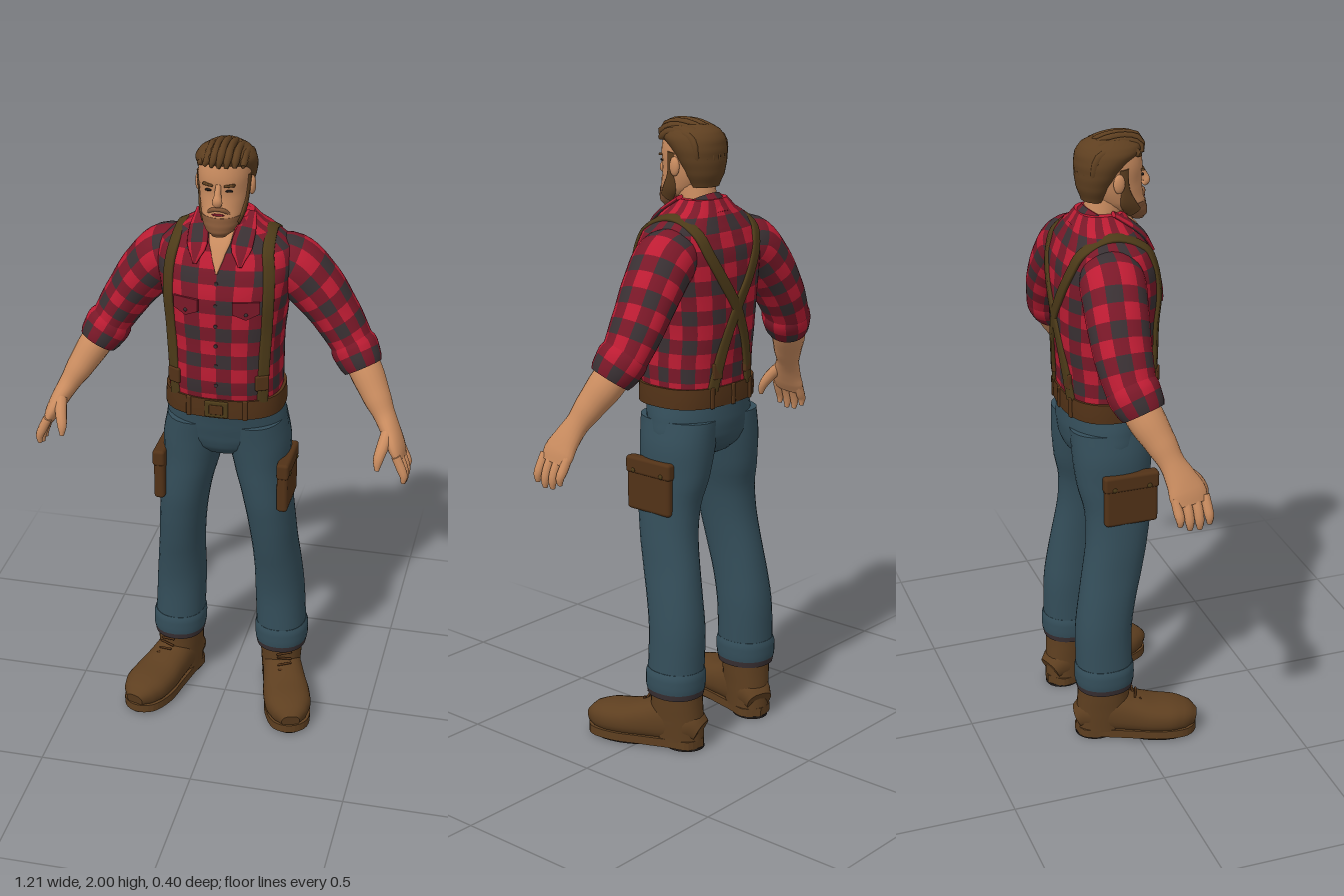
import * as THREE from 'three';
import { RoundedBoxGeometry } from 'three/addons/geometries/RoundedBoxGeometry.js';

const V = (x, y, z) => new THREE.Vector3(x, y, z);
const mat = (name, color) => Object.assign(new THREE.MeshStandardMaterial({ color }), { name });
const M = {
  red: mat('shirt red', 0xbd1c33), midRed: mat('shirt dark red', 0x7a1828), check: mat('shirt charcoal', 0x393033),
  denim: mat('denim', 0x344e5a), brown: mat('boot and hair brown', 0x5e3f20), leather: mat('belt leather', 0x523217),
  strap: mat('suspender olive', 0x4c3a18), skin: mat('skin', 0xcb8d60), stubble: mat('beard', 0x855838),
  black: mat('sole black', 0x1d1816),
};
const PLAID = [M.red, M.midRed, M.check];

// Skin a path of [x, y, z, halfWidth, halfDepth] stations with superellipse sections.
function loft(pts, { seg = 20, rows = 16, n = 2, ref = V(0, 0, 1), flat = false, plaid = null } = {}) {
  if (plaid) { rows = plaid[1] * 3; seg = plaid[0] * 3; }
  const path = new THREE.CatmullRomCurve3(pts.map(p => V(p[0], p[1], p[2])));
  const size = new THREE.CatmullRomCurve3(pts.map(p => V(p[3], p[4], 0)), false, 'catmullrom', 0.3);
  const pos = [], idx = [[], [], []], centers = [];
  for (let i = 0; i <= rows; i++) {
    const t = path.getUtoTmapping(i / rows), c = path.getPoint(t), r = size.getPoint(t);
    const T = flat ? V(0, Math.sign(pts[1][1] - pts[0][1]), 0) : path.getTangent(t);
    const A = T.clone().cross(typeof ref === 'function' ? ref(c) : ref).normalize();
    const B = A.clone().cross(T);
    centers.push(c);
    for (let j = 0; j < seg; j++) {
      const a = j / seg * Math.PI * 2, cs = Math.cos(a), sn = Math.sin(a);
      const k = (Math.abs(cs) ** n + Math.abs(sn) ** n) ** (-1 / n);
      pos.push(...c.clone().addScaledVector(A, r.x * k * cs).addScaledVector(B, r.y * k * sn).toArray());
    }
  }
  for (let i = 0; i < rows; i++) for (let j = 0; j < seg; j++) {
    const a = i * seg + j, b = i * seg + (j + 1) % seg;
    const g = plaid ? (Math.floor(i / 3) % 2) + (Math.floor(j / 3) % 2) : 0;
    idx[g].push(a, a + seg, b, b, a + seg, b + seg);
  }
  // end caps with their own vertices, so that the rims stay sharp
  for (const end of [0, rows]) {
    const base = pos.length / 3;
    pos.push(...pos.slice(end * seg * 3, (end + 1) * seg * 3), ...centers[end].toArray());
    for (let j = 0; j < seg; j++) {
      const a = base + j, b = base + (j + 1) % seg;
      idx[0].push(base + seg, end ? b : a, end ? a : b);
    }
  }
  const g = new THREE.BufferGeometry();
  g.setAttribute('position', new THREE.Float32BufferAttribute(pos, 3));
  g.setIndex(idx.flat());
  let start = 0;
  if (plaid) idx.forEach((f, m) => { g.addGroup(start, f.length, m); start += f.length; });
  g.computeVertexNormals();
  return g;
}

// Torso stations: y, centre z, half width, half depth
const TORSO = [[1.16, -.03, .178, .142], [1.25, -.025, .18, .15], [1.35, -.03, .18, .156], [1.45, -.03, .19, .16],
  [1.53, -.03, .203, .16], [1.6, -.035, .214, .15], [1.66, -.04, .205, .128], [1.7, -.045, .16, .104],
  [1.735, -.045, .105, .085], [1.76, -.045, .08, .07]];
// Depth of the shirt surface at x, y; side is 1 for the chest and -1 for the back
function shirtZ(x, y, side = 1) {
  let i = 0;
  while (i < TORSO.length - 2 && TORSO[i + 1][0] < y) i++;
  const a = TORSO[i], b = TORSO[i + 1], k = (y - a[0]) / (b[0] - a[0]);
  const [cz, rx, rz] = [1, 2, 3].map(q => a[q] + (b[q] - a[q]) * k);
  return cz + side * rz * Math.max(0, 1 - Math.abs(x / rx) ** 2.6) ** (1 / 2.6);
}
const shirtNormal = p => V(p.x * .5, Math.max(0, p.y - 1.5) * .9, p.z + .04).normalize();

export function createModel() {
  const model = new THREE.Group();
  model.name = 'workman';
  const add = (name, geo, material, parent = model) => {
    const m = new THREE.Mesh(geo, material);
    m.name = name;
    parent.add(m);
    return m;
  };
  const place = (m, x, y, z, rx = 0, ry = 0, rz = 0) => { m.position.set(x, y, z); m.rotation.set(rx, ry, rz); return m; };
  const ball = (name, material, x, y, z, a, b, c) => {
    const m = place(add(name, new THREE.SphereGeometry(1, 20, 14), material), x, y, z);
    m.scale.set(a, b, c);
    return m;
  };
  const box = (w, h, d, r = .005) => new RoundedBoxGeometry(w, h, d, 2, r);

  // Shirt body, collar and open neck
  add('shirt', loft(TORSO.map(([y, z, a, b]) => [0, y, z, a, b]), { flat: true, n: 2.6, plaid: [24, 13] }), PLAID);
  add('collarBand', loft([[0, 1.68, -.05, .1, .1], [0, 1.705, -.037, .094, .094], [0, 1.735, -.02, .082, .086]],
    { plaid: [16, 2] }), PLAID);
  add('neck', loft([[0, 1.66, -.05, .06, .06], [0, 1.74, -.035, .058, .06], [0, 1.82, -.02, .056, .062]]), M.skin);
  add('openNeck', loft([[0, 1.61, .116, .003, .005], [0, 1.66, .093, .02, .006], [0, 1.7, .068, .034, .008],
    [0, 1.745, .03, .042, .008]], { ref: shirtNormal, n: 4 }), M.skin);
  for (let i = 0; i < 6; i++) {
    const y = 1.24 + i * .068;
    place(add('shirtButton', new THREE.CylinderGeometry(.006, .006, .006, 12), M.check), 0, y, shirtZ(0, y) + .001, Math.PI / 2);
  }

  // Belt, buckle and loops
  add('belt', loft([[0, 1.125, -.028, .19, .15], [0, 1.155, -.028, .19, .151], [0, 1.188, -.028, .188, .15]],
    { flat: true, n: 2.6, seg: 48, rows: 4 }), M.leather);
  place(add('buckle', box(.075, .055, .012), M.strap), 0, 1.156, .122);
  place(add('bucklePlate', box(.045, .032, .008, .003), M.leather), 0, 1.156, .127);
  for (const [x, z, turn] of [[.09, .114, .2], [-.09, .114, -.2], [.09, -.17, -.2], [-.09, -.17, .2], [0, -.179, 0]])
    place(add('beltLoop', box(.016, .068, .01, .004), M.leather), x, 1.156, z, 0, turn);

  // Seat of the trousers
  add('trouserSeat', loft([[0, 1.145, -.03, .182, .146], [0, 1.08, -.038, .194, .141], [0, 1.03, -.041, .198, .133],
    [0, .995, -.041, .165, .122], [0, .96, -.04, .1, .09], [0, .945, -.04, .05, .05]], { flat: true, seg: 40, rows: 24 }), M.denim);

  // Head, face and beard
  add('head', loft([[0, 1.735, .068, .028, .028], [0, 1.752, .052, .048, .051], [0, 1.79, .018, .066, .08],
    [0, 1.84, -.002, .075, .09], [0, 1.9, -.004, .08, .094], [0, 1.95, -.006, .074, .088], [0, 1.98, -.006, .05, .06]],
    { flat: true, n: 2.15, seg: 28, rows: 24 }), M.skin);
  add('chinBeard', loft([[0, 1.722, .078, .022, .02], [0, 1.74, .064, .045, .044], [0, 1.762, .045, .058, .061],
    [0, 1.784, .03, .066, .071]], { flat: true, seg: 28 }), M.stubble);
  add('nose', loft([[0, 1.885, .086, .008, .008], [0, 1.855, .097, .011, .013], [0, 1.836, .105, .016, .014],
    [0, 1.824, .095, .012, .01]], { seg: 12 }), M.skin);
  add('moustache', loft([[-.036, 1.79, .079, .005, .005], [-.018, 1.807, .092, .007, .006], [0, 1.81, .096, .006, .006],
    [.018, 1.807, .092, .007, .006], [.036, 1.79, .079, .005, .005]], { seg: 10 }), M.stubble);
  ball('mouth', M.midRed, 0, 1.793, .096, .02, .004, .004);

  // Hair: a swept mass with combed locks
  add('hair', loft([[0, 1.795, -.062, .05, .038], [0, 1.84, -.06, .072, .055], [0, 1.88, -.05, .086, .069],
    [0, 1.915, -.035, .093, .085], [0, 1.942, -.016, .092, .1], [0, 1.965, -.008, .078, .094], [0, 1.983, -.006, .05, .065]],
    { flat: true, seg: 32, rows: 24 }), M.brown);
  for (let i = -3; i <= 3; i++) {
    const x = i * .021, d = x * x * 7;
    add('hairLock', loft([[x * 1.1, 1.938, .088 - d * .9, .007, .006], [x + .006, 1.968 - d, .086 - d, .013, .012],
      [x + .004, 1.986 - d, .025, .015, .012], [x * 1.1, 1.968 - d, -.066, .015, .011],
      [x * 1.1, 1.9, -.108 + d, .013, .009], [x * .8, 1.83, -.102 + d, .006, .006]], { ref: V(1, 0, 0), seg: 10 }), M.brown);
  }

  // Foot outline shared by the boots
  const outline = new THREE.Shape();
  outline.setFromPoints(new THREE.SplineCurve([[0, -.1], [.055, -.07], [.06, 0], [.07, .1], [.078, .19], [.058, .272], [0, .302],
    [-.056, .272], [-.075, .19], [-.068, .1], [-.058, 0], [-.055, -.07], [0, -.1]].map(p => new THREE.Vector2(...p))).getPoints(48));

  for (const s of [1, -1]) {
    const side = s > 0 ? 'left' : 'right';
    const mir = pts => pts.map(([x, ...rest]) => [x * s, ...rest]);

    // Face details
    ball(side + 'Ear', M.skin, s * .082, 1.858, -.008, .011, .03, .018);
    ball(side + 'Eye', M.black, s * .031, 1.866, .082, .012, .004, .006);
    place(add(side + 'Brow', box(.034, .008, .012, .003), M.brown), s * .033, 1.883, .083, 0, s * .25, s * .1);
    add(side + 'Sideburn', loft(mir([[.077, 1.9, .008, .007, .016], [.073, 1.84, .014, .006, .014],
      [.064, 1.79, .026, .008, .024], [.05, 1.755, .052, .008, .022]]), { seg: 12 }), M.brown);

    // Collar leaf and chest pocket
    add(side + 'CollarLeaf', loft(mir([[.078, 1.765, -.025, .016, .006], [.073, 1.725, .036, .03, .007],
      [.068, 1.685, .078, .032, .007], [.07, 1.635, .106, .006, .005]]), { ref: shirtNormal, n: 4, plaid: [6, 3] }), PLAID);
    const pocket = place(new THREE.Group(), s * .092, 1.48, shirtZ(.092, 1.48) - .001, 0, s * .3);
    pocket.name = side + 'ChestPocket';
    model.add(pocket);
    const flap = new THREE.Shape([[-.042, .05], [.042, .05], [.042, .012], [0, -.008], [-.042, .012]].map(p => new THREE.Vector2(...p)));
    add('pocketFlap', new THREE.ExtrudeGeometry(flap, { depth: .008, bevelEnabled: false }), M.midRed, pocket);
    place(add('pocketButton', new THREE.SphereGeometry(.006, 10, 8), M.check, pocket), 0, .01, .007);

    // Suspender: up the chest, over the shoulder and across the back
    const over = [];
    for (const [x, y] of [[.138, 1.18], [.143, 1.3], [.15, 1.42], [.156, 1.53], [.154, 1.62], [.146, 1.67]])
      over.push([x, y, shirtZ(x, y) + .003, .018, .007]);
    over.push([.138, 1.712, -.045, .018, .007]);
    for (const [x, y] of [[.132, 1.67], [.112, 1.61], [.06, 1.52], [0, 1.43], [-.05, 1.32], [-.085, 1.18]])
      over.push([x, y, shirtZ(x, y, -1) - .002, .018, .007]);
    add(side + 'Suspender', loft(mir(over), { ref: shirtNormal, n: 6, seg: 16, rows: 70 }), M.strap);
    place(add(side + 'FrontClip', box(.044, .05, .014), M.leather), s * .139, 1.25, shirtZ(.139, 1.25) + .006, 0, s * .5);
    place(add(side + 'BackClip', box(.038, .05, .014), M.leather), s * .072, 1.24, shirtZ(.072, 1.24, -1) - .004, 0, -s * .2);

    // Sleeve, rolled cuff, forearm and hand
    add(side + 'Sleeve', loft(mir([[.1, 1.6, -.055, .07, .075], [.19, 1.592, -.068, .093, .1], [.265, 1.522, -.08, .088, .097],
      [.335, 1.425, -.086, .076, .09], [.388, 1.338, -.08, .067, .08], [.415, 1.292, -.07, .06, .07]]), { plaid: [12, 10] }), PLAID);
    add(side + 'RolledCuff', loft(mir([[.385, 1.345, -.08, .066, .078], [.396, 1.325, -.075, .075, .083],
      [.42, 1.284, -.06, .069, .076], [.43, 1.266, -.054, .061, .067]]), { plaid: [12, 2] }), PLAID);
    add(side + 'Forearm', loft(mir([[.405, 1.31, -.075, .053, .058], [.443, 1.25, -.05, .052, .058], [.482, 1.185, -.018, .044, .048],
      [.512, 1.135, .004, .034, .04], [.535, 1.095, .022, .03, .048], [.558, 1.05, .038, .025, .06],
      [.572, 1.018, .043, .017, .056]]), { rows: 24 }), M.skin);
    for (let f = 0; f < 4; f++) {
      const z = .09 - f * .031, lift = [.012, 0, .002, .018][f];
      add(side + 'Finger', loft(mir([[.564, 1.04, z, .015, .015], [.583, 1, z + .004, .015, .015],
        [.592, .966 + lift, z + .006, .013, .014], [.591, .942 + lift, z + .007, .007, .008]]), { seg: 10, rows: 8 }), M.skin);
    }
    add(side + 'Thumb', loft(mir([[.53, 1.105, .045, .02, .02], [.52, 1.065, .085, .019, .019], [.511, 1.03, .108, .016, .015],
      [.51, .998, .117, .007, .007]]), { seg: 10, rows: 10 }), M.skin);

    // Trouser leg and turn-up
    add(side + 'Leg', loft(mir([[.095, 1.08, -.038, .095, .134], [.106, 1, -.041, .1, .128], [.118, .9, -.04, .09, .12],
      [.135, .8, -.032, .081, .107], [.148, .7, -.04, .077, .1], [.157, .6, -.058, .075, .098], [.165, .5, -.078, .078, .094],
      [.17, .4, -.092, .082, .092], [.177, .24, -.093, .083, .092]]), { flat: true, n: 2.2, seg: 28, rows: 30 }), M.denim);
    add(side + 'TurnUp', loft(mir([[.176, .272, -.093, .084, .093], [.177, .255, -.093, .089, .097], [.178, .22, -.093, .089, .097],
      [.178, .204, -.093, .087, .095]]), { flat: true, n: 2.2, seg: 28, rows: 8 }), M.denim);
    add(side + 'TurnUpEdge', loft(mir([[.178, .207, -.093, .087, .095], [.178, .184, -.093, .083, .091]]),
      { flat: true, n: 2.2, seg: 28, rows: 1 }), M.check);

    // Thigh pouch
    place(add(side + 'Pouch', box(.036, .165, .175, .012), M.leather), s * .202, .863, -.012);
    place(add(side + 'PouchFlap', box(.04, .055, .182, .01), M.leather), s * .203, .928, -.012);
    for (const z of [.045, -.07]) ball(side + 'PouchStud', M.strap, s * .223, .912, z, .004, .008, .008);

    // Boot, turned outwards
    const boot = place(new THREE.Group(), s * .178, 0, -.09, 0, s * .31);
    boot.name = side + 'Boot';
    model.add(boot);
    add('bootShaft', loft([[0, .03, -.012, .062, .084], [0, .1, -.008, .066, .086], [0, .16, -.006, .07, .084],
      [0, .215, -.004, .074, .084]], { flat: true, n: 2.3, seg: 28 }), M.brown, boot);
    add('bootFoot', loft([[0, .06, -.09, .045, .035], [0, .08, -.05, .06, .055], [0, .088, .02, .065, .072], [0, .078, .09, .071, .062],
      [0, .069, .16, .078, .054], [0, .066, .22, .076, .05], [0, .06, .268, .058, .042], [0, .052, .298, .03, .024]],
      { ref: V(0, 1, 0), n: 2.5, seg: 28, rows: 28 }), M.brown, boot);
    const slab = depth => new THREE.ExtrudeGeometry(outline, { depth, bevelEnabled: false }).rotateX(Math.PI / 2);
    place(add('welt', slab(.028), M.brown, boot), 0, .036, 0);
    const heel = place(add('heel', new THREE.CylinderGeometry(.056, .056, .008, 24), M.black, boot), 0, .004, -.034);
    heel.scale.z = 1.15;
    const tread = place(add('tread', new THREE.CylinderGeometry(.07, .069, .008, 28), M.black, boot), 0, .004, .175);
    tread.scale.z = 1.72;
    for (let k = 0; k < 5; k++)
      place(add('lace', box(.055 - k * .002, .006, .008, .003), M.leather, boot), 0, .19 - k * .015, .08 + k * k * .0022, .3, 0, k % 2 ? .2 : -.2);
  }
  return model;
}
